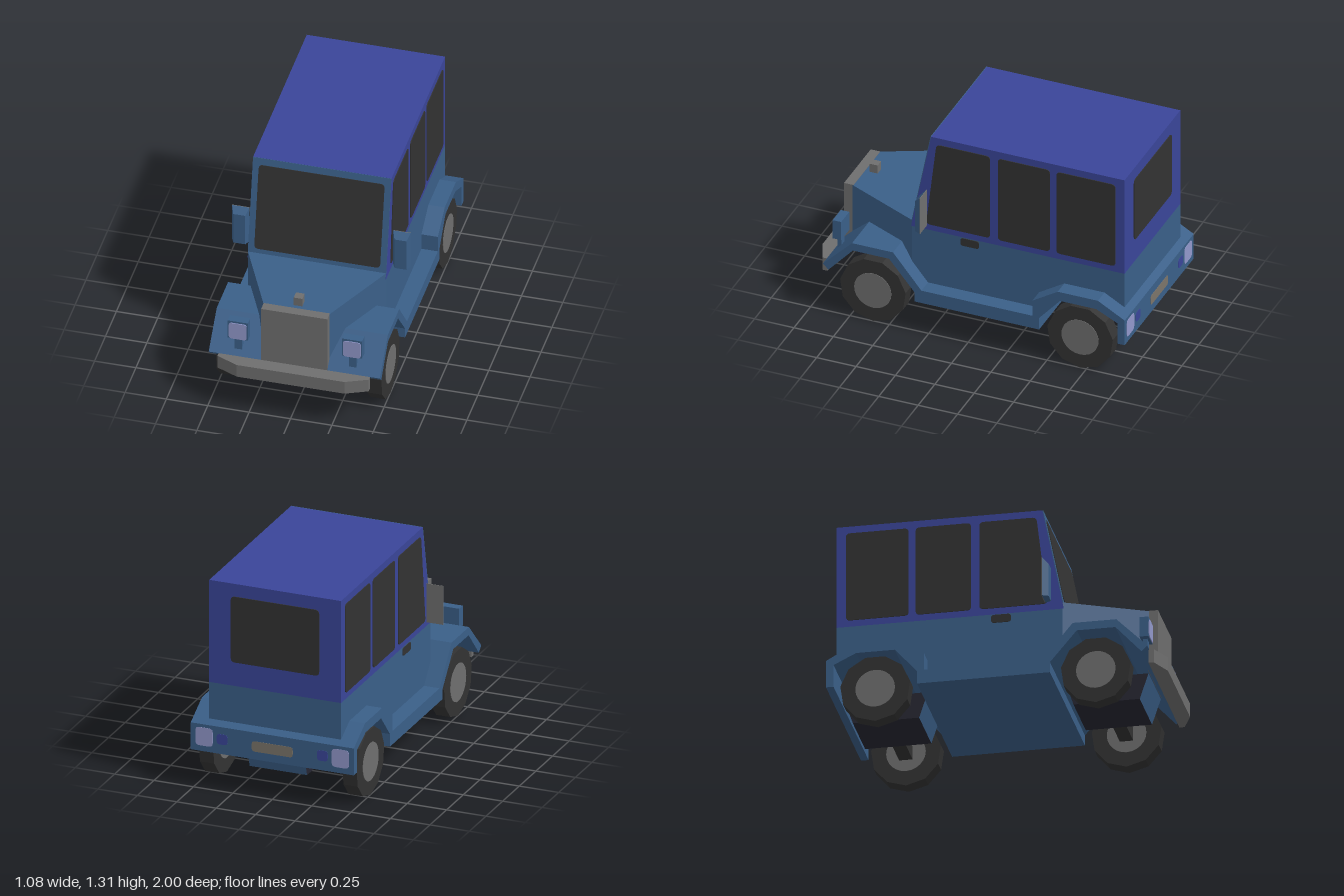
import * as THREE from 'three';

const mat = (name, color) => {
  const m = new THREE.MeshStandardMaterial({ color });
  m.name = name;
  return m;
};

export function createModel() {
  const car = new THREE.Group();
  car.name = 'offRoadCar';
  const blue = mat('bodyBlue', 0x3a5f88);
  const purple = mat('roofPurple', 0x3a4599);
  const grey = mat('metalGrey', 0x6e6e6e);
  const dark = mat('glassAndTyreDark', 0x323232);
  const lens = mat('lampLavender', 0x9298cb);
  const under = mat('underbodyDark', 0x262632);
  const tan = mat('plateTan', 0x7b746a);

  const add = (name, geo, material, x = 0, y = 0, z = 0, parent = car) => {
    const mesh = new THREE.Mesh(geo, material);
    mesh.name = name;
    mesh.position.set(x, y, z);
    parent.add(mesh);
    return mesh;
  };
  // Box given by its limits
  const box = (name, material, x0, x1, y0, y1, z0, z1) =>
    add(name, new THREE.BoxGeometry(x1 - x0, y1 - y0, z1 - z0), material,
      (x0 + x1) / 2, (y0 + y1) / 2, (z0 + z1) / 2);
  const polygon = pts => new THREE.Shape(pts.map(p => new THREE.Vector2(...p)));
  // Side profile of [z, y] points, extruded across the width
  const sideProfile = (pts, halfWidth) => {
    const g = new THREE.ExtrudeGeometry(polygon(pts), { depth: halfWidth * 2, bevelEnabled: false });
    return g.translate(0, 0, -halfWidth).rotateY(-Math.PI / 2);
  };
  // Polygon with rounded corners, as a thin plate facing +z
  const plate = (pts, r, depth = 0.005) => {
    const v = pts.map(p => new THREE.Vector2(...p));
    const s = new THREE.Shape();
    v.forEach((p, i) => {
      const prev = v[(i + v.length - 1) % v.length], next = v[(i + 1) % v.length];
      const a = p.clone().add(prev.clone().sub(p).setLength(r));
      const b = p.clone().add(next.clone().sub(p).setLength(r));
      if (i) s.lineTo(a.x, a.y); else s.moveTo(a.x, a.y);
      s.quadraticCurveTo(p.x, p.y, b.x, b.y);
    });
    s.closePath();
    return new THREE.ExtrudeGeometry(s, { depth, bevelEnabled: false, curveSegments: 4 });
  };
  const rect = (x0, x1, y0, y1) => [[x0, y0], [x1, y0], [x1, y1], [x0, y1]];

  // Fenders and running boards share one long profile
  add('fendersAndSills', sideProfile([
    [0.915, 0.33], [0.73, 0.515], [0.47, 0.515], [0.29, 0.295], [-0.415, 0.295], [-0.415, 0.4],
    [-0.575, 0.5], [-0.83, 0.5], [-1, 0.405], [-1, 0.235], [-0.955, 0.235], [-0.955, 0.375],
    [-0.82, 0.44], [-0.59, 0.44], [-0.457, 0.29], [-0.457, 0.21], [0.335, 0.21], [0.335, 0.275],
    [0.495, 0.465], [0.725, 0.465], [0.88, 0.295],
  ], 0.517), blue);

  // Lower body and cab
  add('lowerBody', sideProfile([
    [0.39, 0.66], [0.39, 0.39], [0.29, 0.25], [-0.43, 0.25], [-0.43, 0.37], [-0.58, 0.47],
    [-0.83, 0.47], [-0.957, 0.4], [-0.957, 0.66],
  ], 0.418), blue);
  add('cab', sideProfile([
    [0.397, 0.66], [0.39, 0.7], [0.27, 1.305], [-0.957, 1.305], [-0.957, 0.66],
  ], 0.418), purple);

  // Hood narrows towards the grille
  const hood = sideProfile([
    [0.39, 0.7], [0.86, 0.7], [0.86, 0.35], [0.73, 0.48], [0.47, 0.48], [0.39, 0.39],
  ], 1);
  const hp = hood.attributes.position;
  for (let i = 0; i < hp.count; i++) {
    hp.setX(i, hp.getX(i) * (0.418 - 0.218 * (hp.getZ(i) - 0.39) / 0.47));
  }
  hood.computeVertexNormals();
  add('hood', hood, blue);
  box('grille', grey, -0.2, 0.2, 0.32, 0.702, 0.855, 0.915);
  box('hoodOrnament', grey, -0.026, 0.026, 0.7, 0.755, 0.775, 0.828);

  // Windscreen on the sloping front of the cab
  const screen = new THREE.Group();
  screen.name = 'windscreen';
  screen.position.set(0, 0.7, 0.39);
  screen.rotation.x = -Math.atan2(0.12, 0.605);
  car.add(screen);
  add('windscreenFrame', new THREE.BoxGeometry(0.836, 0.615, 0.004), blue, 0, 0.3085, 0.002, screen);
  add('windscreenGlass', plate(rect(-0.38, 0.38, 0.03, 0.573), 0.025, 0.004), dark, 0, 0, 0.004, screen);

  // Side windows and door handles, drawn with z running along the plate
  const sidePanes = [
    [[0.3, 0.7], [0.235, 1.26], [-0.105, 1.26], [-0.105, 0.7]],
    rect(-0.485, -0.155, 0.7, 1.26),
    rect(-0.9, -0.527, 0.7, 1.26),
  ];
  const handle = [[0.083, 0.655], [0.083, 0.605], [-0.035, 0.605], [-0.035, 0.655]];
  for (const side of [-1, 1]) {
    const sidePlate = (name, pts, r) => {
      const m = add(name, plate(pts.map(([z, y]) => [-side * z, y]), r), dark, side * 0.418);
      m.rotation.y = side * Math.PI / 2;
    };
    sidePanes.forEach(p => sidePlate('sideWindow', p, 0.025));
    sidePlate('doorHandle', handle, 0.018);
  }

  // Rear window, lamps and number plate
  const rearPlate = (name, material, x0, x1, y0, y1, z, r) => {
    const m = add(name, plate(rect(x0, x1, y0, y1), r), material, 0, 0, z);
    m.rotation.y = Math.PI;
  };
  rearPlate('rearWindow', dark, -0.28, 0.28, 0.81, 1.225, -0.957, 0.025);
  rearPlate('numberPlate', tan, -0.13, 0.13, 0.285, 0.35, -0.997, 0.02);
  for (const s of [-1, 1]) {
    const c = s * 0.432, d = s * 0.318;
    rearPlate('rearLamp', lens, c - 0.055, c + 0.055, 0.27, 0.385, -0.997, 0.025);
    rearPlate('rearSignal', purple, d - 0.034, d + 0.034, 0.295, 0.36, -0.997, 0.02);
  }

  // Front bumper with cut corners
  const bumper = new THREE.ExtrudeGeometry(polygon([
    [-0.457, -0.91], [-0.457, -0.942], [-0.325, -1], [0.325, -1], [0.457, -0.942], [0.457, -0.91],
  ]), { depth: 0.085, bevelEnabled: false }).rotateX(-Math.PI / 2);
  add('frontBumper', bumper, grey, 0, 0.245, 0);

  for (const s of [-1, 1]) {
    // Headlamp on a short post
    const x = s * 0.345;
    box('headlamp', blue, x - 0.061, x + 0.061, 0.443, 0.568, 0.846, 0.9);
    box('headlampPost', blue, x - 0.023, x + 0.023, 0.36, 0.45, 0.86, 0.885);
    add('headlampLens', plate(rect(-0.054, 0.054, 0.444, 0.556), 0.02), lens, x, 0, 0.9);

    // Mirror housing tapers forwards, with the glass behind
    const housing = new THREE.BoxGeometry(0.106, 0.245, 0.036).toNonIndexed();
    const p = housing.attributes.position;
    for (let i = 0; i < p.count; i++) {
      if (p.getZ(i) < 0) continue;
      p.setX(i, p.getX(i) * 0.68);
      if (p.getY(i) > 0) p.setY(i, 0.085);
    }
    housing.computeVertexNormals();
    add('mirrorHousing', housing, blue, s * 0.487, 0.8225, 0.31);
    box('mirrorGlass', grey, s * 0.487 - 0.053, s * 0.487 + 0.053, 0.7, 0.945, 0.288, 0.292);
  }

  // Wheels, axles and gear housings
  const cylinder = (r, w, n) => {
    const g = new THREE.CylinderGeometry(r, r, w, n).rotateZ(Math.PI / 2).rotateX(Math.PI / 2).toNonIndexed();
    g.computeVertexNormals();
    return g;
  };
  const tyre = cylinder(0.21, 0.09, 11), hub = cylinder(0.118, 0.096, 24);
  const block = new THREE.BoxGeometry(0.364, 0.16, 0.5).toNonIndexed();
  const bp = block.attributes.position;
  for (let i = 0; i < bp.count; i++) if (bp.getY(i) < 0) bp.setZ(i, bp.getZ(i) * 0.79);
  block.computeVertexNormals();
  for (const z of [0.605, -0.71]) {
    for (const s of [-1, 1]) {
      add('tyre', tyre, dark, s * 0.455, 0.21, z);
      add('hub', hub, grey, s * 0.455, 0.21, z);
    }
    box('axle', dark, -0.42, 0.42, 0.163, 0.245, z - 0.04, z + 0.04);
    add('gearHousing', block, [under, under, under, under, blue, blue], 0, 0.228, z);
  }
  return car;
}
